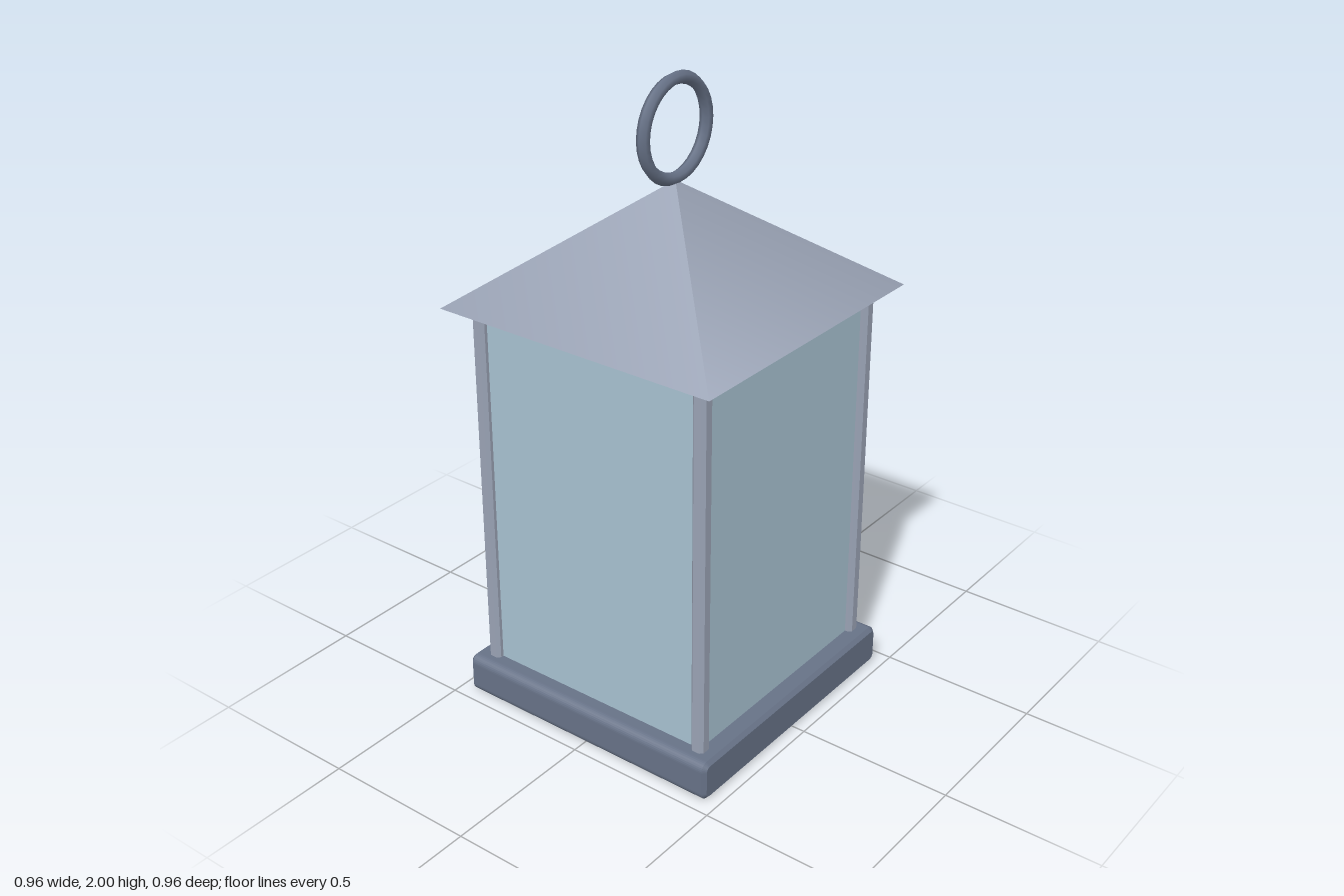
import * as THREE from 'three';

const mat = (color) => new THREE.MeshStandardMaterial({ color });

// Block with rounded corners in the front outline and a chamfer at front and back
function bevelledBlock(width, height, depth, radius, bevel) {
  const x = width / 2 - bevel;
  const y = height / 2 - bevel;
  const shape = new THREE.Shape();
  shape.moveTo(-x + radius, -y);
  shape.absarc(x - radius, -y + radius, radius, -Math.PI / 2, 0);
  shape.absarc(x - radius, y - radius, radius, 0, Math.PI / 2);
  shape.absarc(-x + radius, y - radius, radius, Math.PI / 2, Math.PI);
  shape.absarc(-x + radius, -y + radius, radius, Math.PI, Math.PI * 1.5);
  const geometry = new THREE.ExtrudeGeometry(shape, {
    depth: depth - 2 * bevel,
    bevelThickness: bevel,
    bevelSize: bevel,
    bevelSegments: 1,
    curveSegments: 4,
  });
  return geometry.translate(0, 0, bevel - depth / 2);
}

export function createModel() {
  const lantern = new THREE.Group();
  lantern.name = 'lantern';
  const dark = mat(0x677287);
  const metal = mat(0x9aa3b5);
  const glass = mat(0xa8c2d1);

  const add = (name, geometry, material, x, y, z) => {
    const mesh = new THREE.Mesh(geometry, material);
    mesh.name = name;
    mesh.position.set(x, y, z);
    lantern.add(mesh);
  };

  // Plinth
  add('base', bevelledBlock(0.925, 0.13, 0.925, 0.016, 0.012), dark, 0, 0.065, 0);

  // Glass body, stopping just short of the roof
  add('glassBody', new THREE.BoxGeometry(0.8, 1.19, 0.8), glass, 0, 0.715, 0);

  // Chamfered corner posts, sunk slightly into base and roof
  const post = bevelledBlock(0.045, 1.22, 0.045, 0.004, 0.01);
  for (const x of [-1, 1]) {
    for (const z of [-1, 1]) add('cornerPost', post, metal, x * 0.398, 0.725, z * 0.398);
  }

  // Pyramid roof, turned so its sides face the axes
  const roof = new THREE.ConeGeometry(0.48 * Math.SQRT2, 0.358, 4);
  roof.rotateY(Math.PI / 4);
  add('roof', roof, metal, 0, 1.506, 0);

  // Hanging ring
  add('ring', new THREE.TorusGeometry(0.1445, 0.0195, 6, 32), dark, 0, 1.836, 0);

  return lantern;
}
